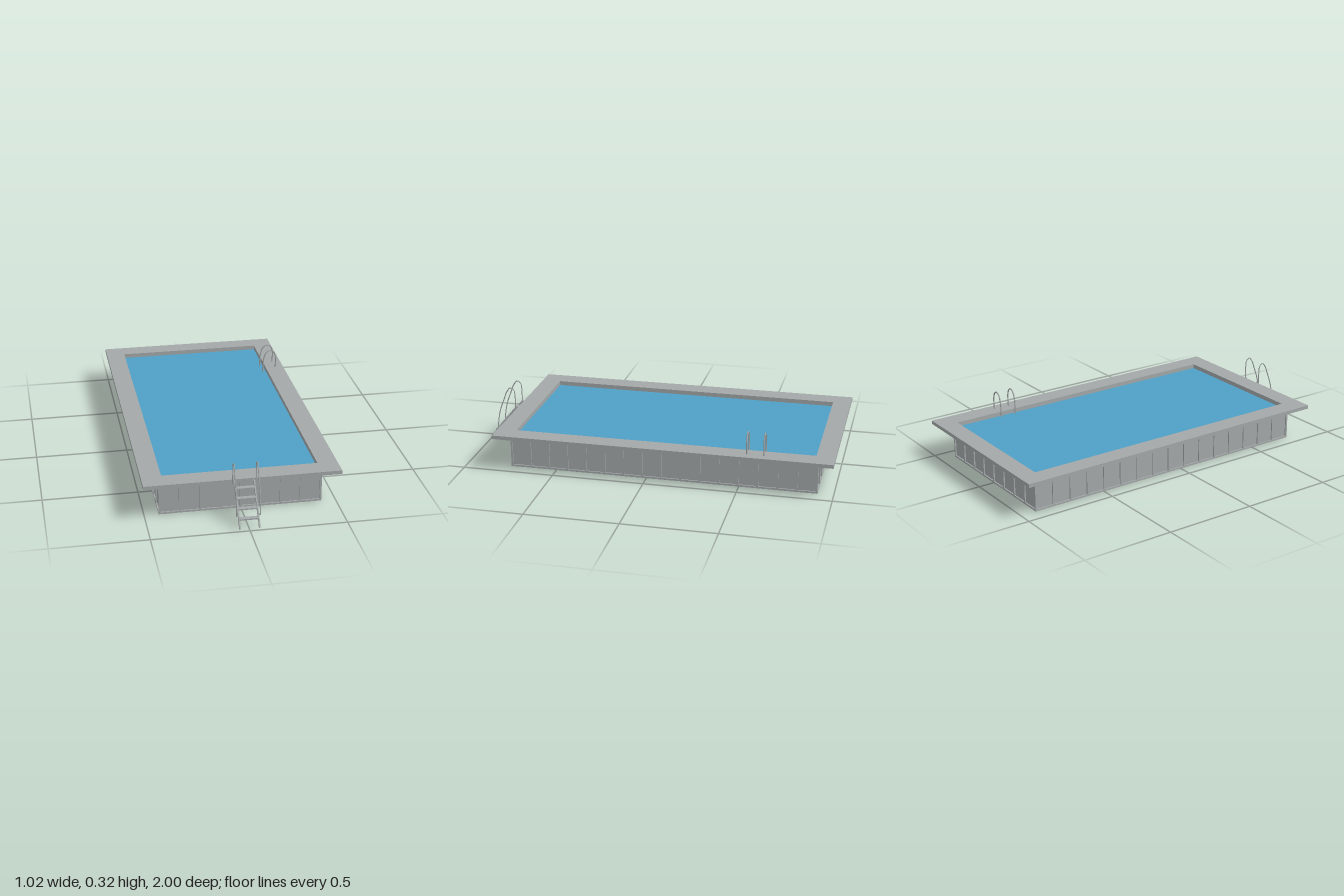
import * as THREE from 'three';

const material = (name, color, extra = {}) => {
  const m = new THREE.MeshStandardMaterial({ color, ...extra });
  m.name = name;
  return m;
};

export function createModel() {
  const grey = material('grey metal', 0xa3a8a8);
  const waterBlue = material('water blue', 0x4f9fc6);
  const floorBlue = material('floor blue', 0x2c6a9c);
  const model = new THREE.Group();
  model.name = 'pool';

  const add = (name, geometry, mat = grey, parent = model) => {
    const mesh = new THREE.Mesh(geometry, mat);
    mesh.name = name;
    parent.add(mesh);
    return mesh;
  };
  const group = (name) => {
    const g = new THREE.Group();
    g.name = name;
    model.add(g);
    return g;
  };
  const box = (name, size, pos, parent = model, mat = grey) => {
    const mesh = add(name, new THREE.BoxGeometry(...size), mat, parent);
    mesh.position.set(...pos);
    return mesh;
  };
  // Square bar running between two points
  const bar = (name, a, b, w, h, parent) => {
    const from = new THREE.Vector3(...a), to = new THREE.Vector3(...b);
    const mesh = box(name, [w, h, from.distanceTo(to)], [0, 0, 0], parent);
    mesh.position.copy(from).add(to).multiplyScalar(0.5);
    mesh.lookAt(to);
    return mesh;
  };
  const tube = (name, points, radius, parent) => {
    const curve = new THREE.CatmullRomCurve3(points.map((p) => new THREE.Vector3(...p)));
    return add(name, new THREE.TubeGeometry(curve, 40, radius, 8), grey, parent);
  };
  // Rectangular frame lying flat; rectangles are [halfWidth, zBack, zFront]
  const frame = (name, outer, inner, y, height) => {
    const trace = (path, [w, z0, z1]) =>
      path.moveTo(-w, -z1).lineTo(w, -z1).lineTo(w, -z0).lineTo(-w, -z0).closePath();
    const shape = trace(new THREE.Shape(), outer);
    shape.holes.push(trace(new THREE.Path(), inner));
    const geo = new THREE.ExtrudeGeometry(shape, { depth: height, bevelEnabled: false });
    geo.rotateX(-Math.PI / 2);
    add(name, geo).position.y = y;
  };

  // Deck, walls and rails
  const W = 0.425, ZB = -0.915, ZF = 0.755, deckY = 0.185;
  const opening = [0.405, -0.9, 0.725];
  frame('deck', [0.51, -1, 0.83], opening, deckY, 0.02);
  frame('walls', [W - 0.007, ZB + 0.007, ZF - 0.007], opening, 0.002, deckY - 0.002);
  frame('bottomRail', [W, ZB, ZF], [W - 0.009, ZB + 0.009, ZF - 0.009], 0, 0.01);

  // Water surface and floor
  box('water', [0.81, 0.006, 1.625], [0, 0.178, -0.0875], model, waterBlue);
  box('floor', [2 * W - 0.014, 0.004, ZF - ZB - 0.014], [0, 0.0025, (ZB + ZF) / 2], model, floorBlue);

  // Upright ribs between wall panels
  const ribs = group('wallRibs');
  const ribH = deckY - 0.005, ribY = 0.005 + ribH / 2;
  for (let i = 0; i <= 8; i++) {
    const x = -W + 0.005 + (i * (2 * W - 0.01)) / 8;
    for (const z of [ZF - 0.005, ZB + 0.005]) box('rib', [0.01, ribH, 0.01], [x, ribY, z], ribs);
  }
  for (let i = 1; i < 16; i++) {
    const z = ZB + 0.005 + (i * (ZF - ZB - 0.01)) / 16;
    for (const x of [-W + 0.005, W - 0.005]) box('rib', [0.01, ribH, 0.01], [x, ribY, z], ribs);
  }

  // Diagonal braces under the deck overhang
  const braces = group('deckBraces');
  for (let i = 0; i < 5; i++) {
    const x = -0.394 + i * 0.197;
    bar('brace', [x, 0.156, ZF - 0.004], [x, 0.187, ZF + 0.045], 0.006, 0.006, braces);
    bar('brace', [x, 0.156, ZB + 0.004], [x, 0.187, ZB - 0.045], 0.006, 0.006, braces);
  }
  for (let i = 0; i < 9; i++) {
    const z = 0.722 - i * 0.2;
    for (const s of [-1, 1])
      bar('brace', [s * (W - 0.004), 0.156, z], [s * (W + 0.045), 0.187, z], 0.006, 0.006, braces);
  }

  // Arched grab rails beside the water
  const grabRails = group('grabRails');
  for (const z of [-0.635, -0.545]) {
    tube('grabRail', [
      [0.386, 0.17, z], [0.387, 0.21, z], [0.391, 0.26, z], [0.406, 0.301, z], [0.43, 0.315, z],
      [0.453, 0.302, z], [0.464, 0.27, z], [0.464, 0.235, z], [0.461, 0.2, z],
    ], 0.0038, grabRails);
  }

  // Sloping entry ladder with steps and handrails
  const ladder = group('entryLadder');
  for (const s of [-1, 1]) {
    bar('stringer', [s * 0.05, 0.2, 0.837], [s * 0.05, 0.012, 0.994], 0.007, 0.014, ladder);
    const x = s * 0.06;
    tube('handrail', [
      [x, 0.062, 0.956], [x, 0.12, 0.95], [x, 0.18, 0.937], [x, 0.24, 0.915], [x, 0.29, 0.895],
      [x, 0.315, 0.873], [x, 0.302, 0.853], [x, 0.26, 0.847], [x, 0.19, 0.847],
    ], 0.003, ladder);
    box('railMount', [0.014, 0.007, 0.007], [s * 0.055, 0.065, 0.953], ladder);
    box('railMount', [0.014, 0.007, 0.007], [s * 0.055, 0.194, 0.846], ladder);
  }
  for (let i = 0; i < 4; i++)
    box('step', [0.096, 0.007, 0.024], [0, 0.171 - i * 0.04, 0.862 + i * 0.0335], ladder);

  return model;
}
